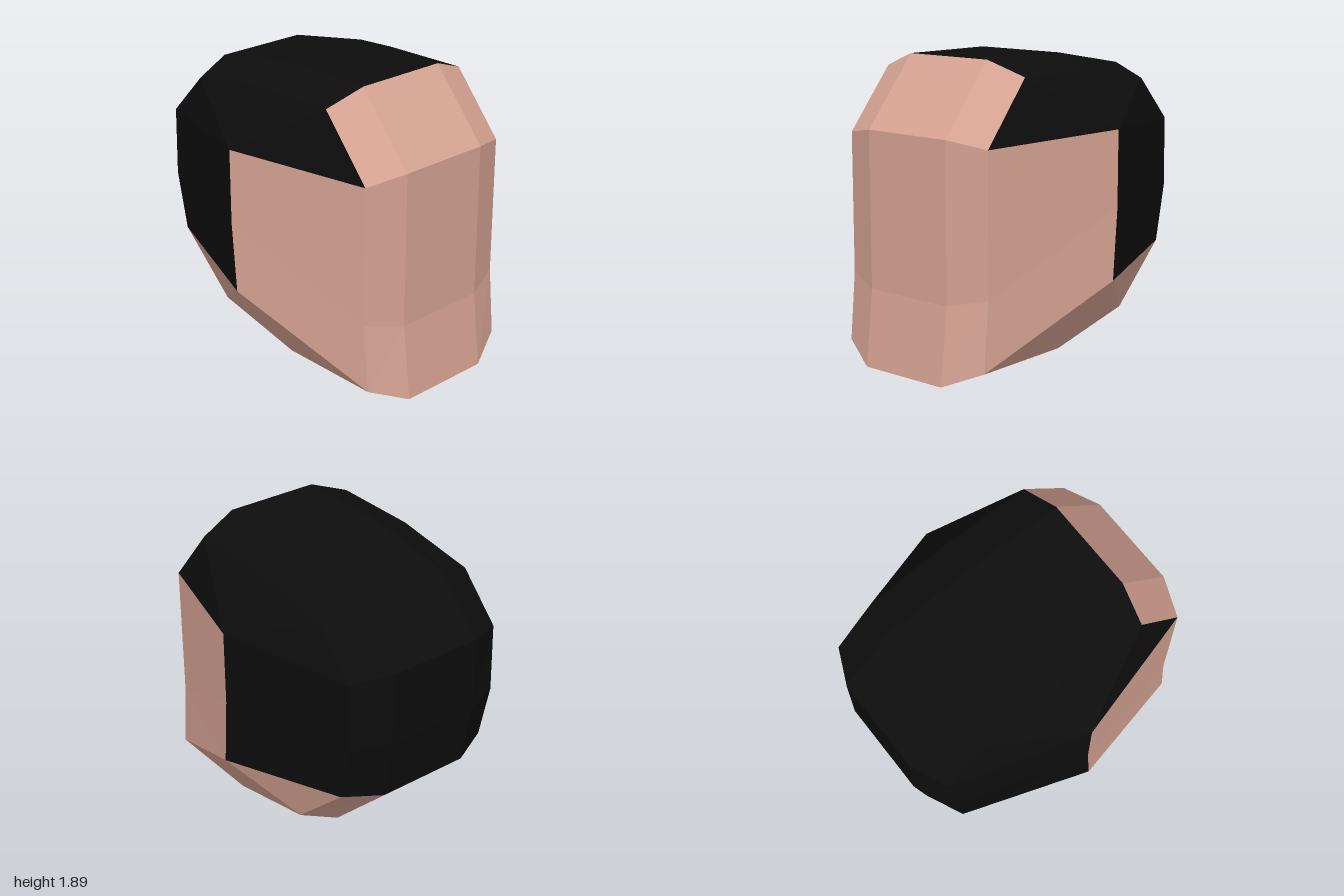
import * as THREE from 'three';

// Side outline, clockwise seen from +z: [outer x, outer y, inset x, inset y]
const OUTLINE = [
  [-1, 1.46, -0.89, 1.42],     // 0 back of crown
  [-0.68, 1.78, -0.62, 1.70],
  [-0.08, 1.885, -0.06, 1.79],
  [0.58, 1.89, 0.53, 1.80],    // 3 hairline
  [0.945, 1.46, 0.855, 1.415], // 4 brow
  [0.945, 0.98, 0.855, 0.97],
  [0.945, 0.48, 0.855, 0.535],
  [1, 0, 0.895, 0.105],        // 7 chin
  [0.24, 0, 0.21, 0.105],
  [-0.48, 0.14, -0.42, 0.24],
  [-0.925, 0.575, -0.82, 0.61], // 10 nape
  [-1, 0.98, -0.90, 0.98],
];
// Widest ridge on each side, numbered 12 to 14
const RIDGE = [[-0.03, 1.46], [-0.03, 0.98], [0.005, 0.535]];
const OUTER_Z = 0.31, INSET_Z = 0.555, RIDGE_Z = 0.815;

const HAIR_SEGMENTS = [10, 11, 0, 1, 2];
const SKIN_SEGMENTS = [3, 4, 5, 6, 7, 8, 9];
const HAIR_SIDES = [[1, 2, 12, 0], [3, 4, 12, 2], [11, 0, 12, 13], [10, 11, 13, 14]];
const SKIN_SIDES = [[12, 4, 5, 13], [13, 5, 6, 14], [14, 6, 7, 8], [14, 8, 9, 10]];

const outer = (i, s) => [OUTLINE[i % 12][0], OUTLINE[i % 12][1], s * OUTER_Z];
const inset = (i, s) => [OUTLINE[i % 12][2], OUTLINE[i % 12][3], s * INSET_Z];
const sidePoint = (i, s) => (i < 12 ? inset(i, s) : [...RIDGE[i - 12], s * RIDGE_Z]);

function shell(name, segments, sides, material) {
  const positions = [];
  const quad = (a, b, c, d) => positions.push(...a, ...b, ...c, ...a, ...c, ...d);

  // Central band with a bevel along each edge
  const rings = [i => inset(i, -1), i => outer(i, -1), i => outer(i, 1), i => inset(i, 1)];
  for (const i of segments) {
    for (let r = 0; r < 3; r++) {
      quad(rings[r](i), rings[r + 1](i), rings[r + 1](i + 1), rings[r](i + 1));
    }
  }
  // Mirrored cheeks and temples
  for (const s of [1, -1]) {
    for (const ids of sides) {
      const [a, b, c, d] = ids.map(i => sidePoint(i, s));
      if (s > 0) quad(a, d, c, b);
      else quad(a, b, c, d);
    }
  }
  const geometry = new THREE.BufferGeometry();
  geometry.setAttribute('position', new THREE.Float32BufferAttribute(positions, 3));
  geometry.computeVertexNormals();
  const mesh = new THREE.Mesh(geometry, material);
  mesh.name = name;
  return mesh;
}

export function createModel() {
  const skin = new THREE.MeshStandardMaterial({ color: 0xd6a393, flatShading: true });
  skin.name = 'skin';
  const hair = new THREE.MeshStandardMaterial({ color: 0x0d0d0d, flatShading: true });
  hair.name = 'black hair';

  const head = new THREE.Group();
  head.name = 'head';
  head.add(shell('faceAndJaw', SKIN_SEGMENTS, SKIN_SIDES, skin));
  head.add(shell('hair', HAIR_SEGMENTS, HAIR_SIDES, hair));
  return head;
}
